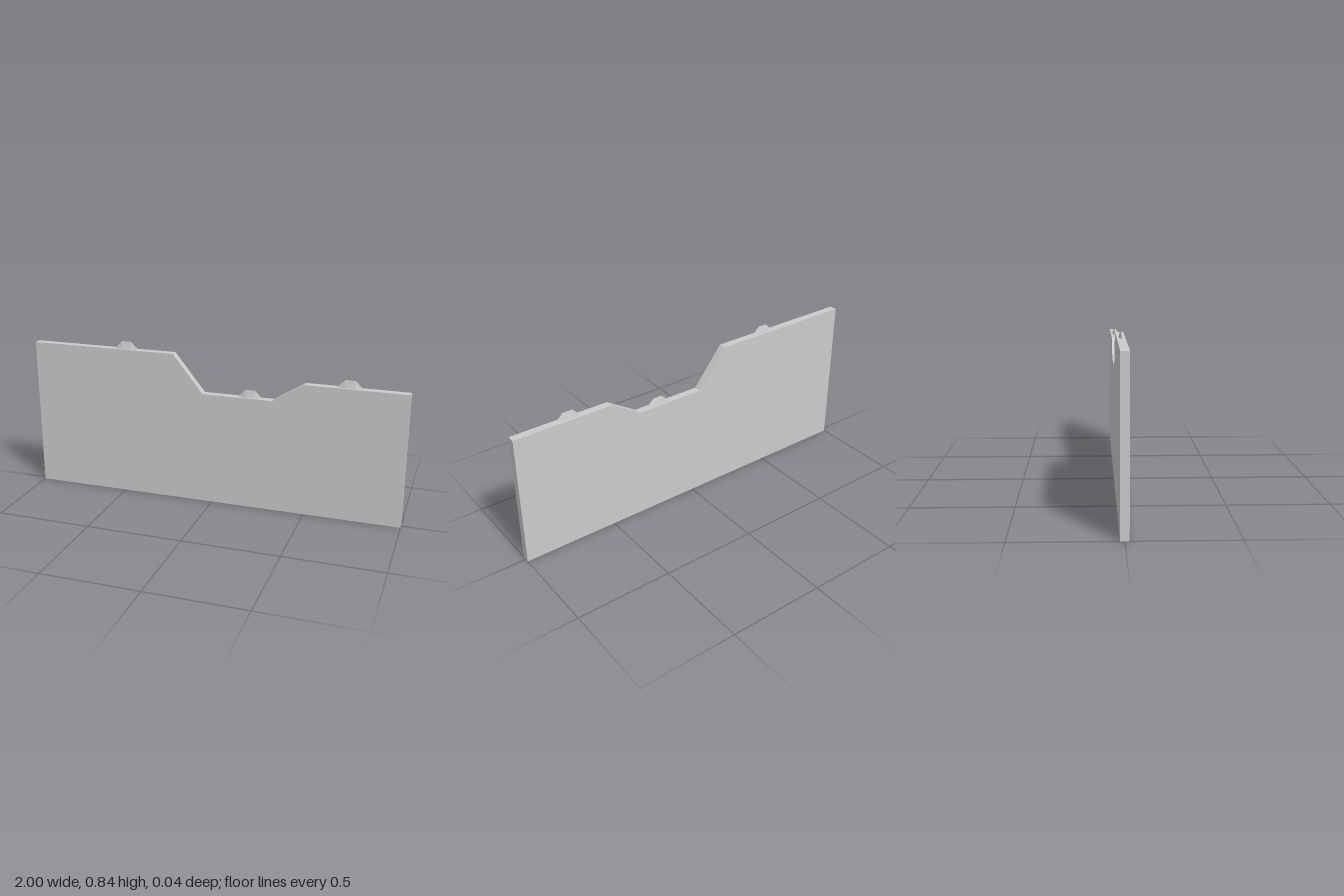
import * as THREE from 'three';
import { ConvexGeometry } from 'three/addons/geometries/ConvexGeometry.js';

const THICKNESS = 0.04;

export function createModel() {
  const model = new THREE.Group();
  model.name = 'steppedPanel';
  const material = new THREE.MeshStandardMaterial({ color: 0xcccccc, flatShading: true });

  // Flat panel with a stepped, sloping top edge
  const outline = [[-1, 0], [1, 0], [1, 0.7], [0.48, 0.7], [0.32, 0.6], [-0.05, 0.6], [-0.21, 0.8], [-1, 0.8]];
  const shape = new THREE.Shape(outline.map(([x, y]) => new THREE.Vector2(x, y)));
  const panelGeometry = new THREE.ExtrudeGeometry(shape, { depth: THICKNESS, bevelEnabled: false });
  panelGeometry.translate(0, 0, -THICKNESS / 2);
  const panel = new THREE.Mesh(panelGeometry, material);
  panel.name = 'panel';
  model.add(panel);

  // Small ridge: six-sided base narrowing to a level edge on top
  const points = [];
  for (const s of [-1, 1]) {
    points.push(
      new THREE.Vector3(s * 0.065, 0, 0),
      new THREE.Vector3(s * 0.025, 0, 0.01),
      new THREE.Vector3(s * 0.025, 0, -0.01),
      new THREE.Vector3(s * 0.025, 0.04, 0),
    );
  }
  const ridgeGeometry = new ConvexGeometry(points);

  // One ridge on each level of the top edge
  const spots = [['rightRidge', -0.475, 0.8], ['middleRidge', 0.2, 0.6], ['leftRidge', 0.705, 0.7]];
  for (const [name, x, y] of spots) {
    const ridge = new THREE.Mesh(ridgeGeometry, material);
    ridge.name = name;
    ridge.position.set(x, y, 0);
    model.add(ridge);
  }
  return model;
}
